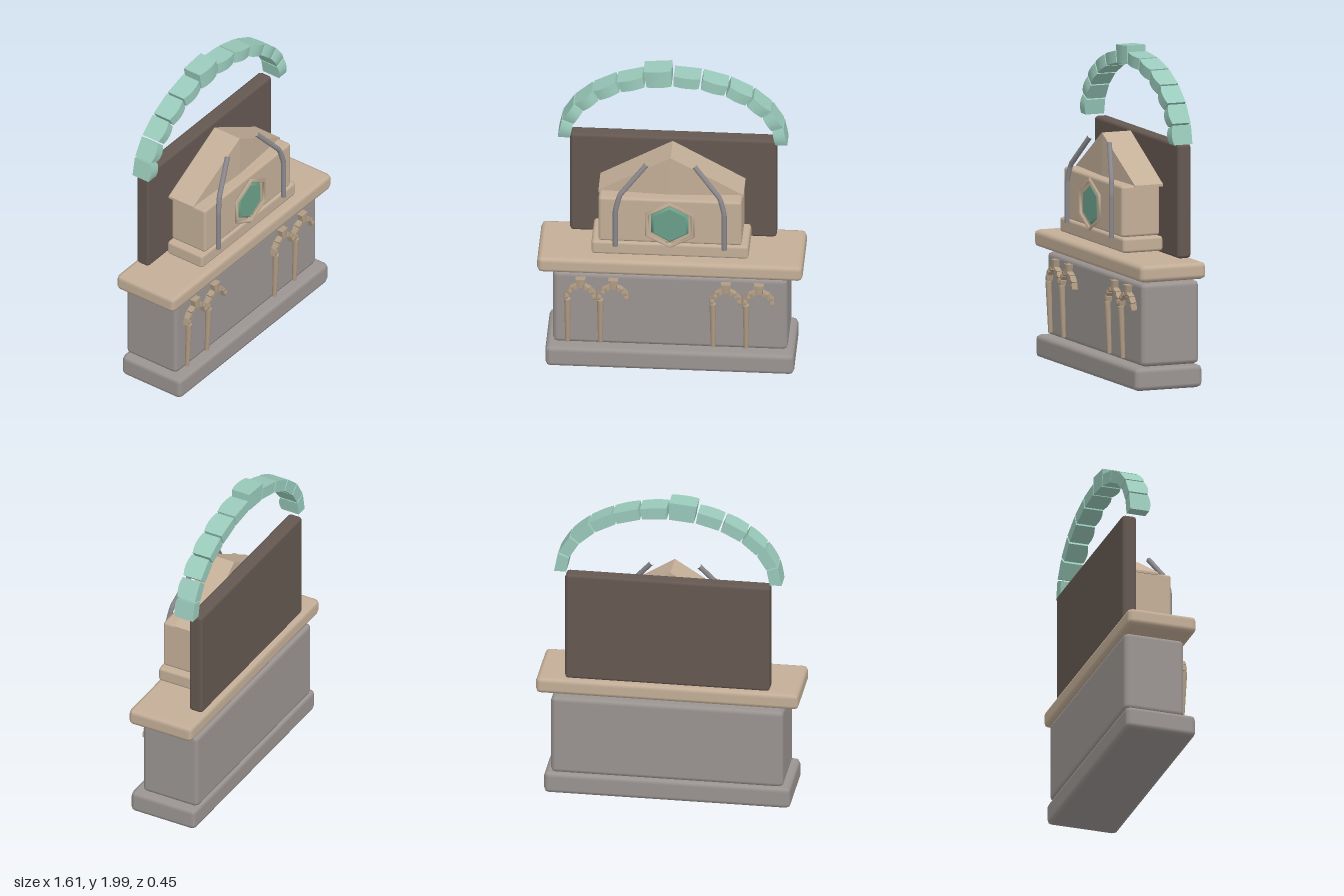
import * as THREE from 'three';
import { RoundedBoxGeometry } from 'three/addons/geometries/RoundedBoxGeometry.js';

const material = (name, color) => {
  const m = new THREE.MeshStandardMaterial({ color });
  m.name = name;
  return m;
};

export function createModel() {
  const root = new THREE.Group();
  root.name = 'altar';
  const grey = material('grey stone', 0x9b9592);
  const tan = material('tan stone', 0xc4af98);
  const brown = material('dark wood', 0x655851);
  const jade = material('pale jade', 0x9acabb);
  const gem = material('green gem', 0x6ba08a);
  const iron = material('iron', 0x8a888c);
  const carved = material('carved stone', 0xb09c84);

  const add = (parent, name, geometry, mat) => {
    const mesh = new THREE.Mesh(geometry, mat);
    mesh.name = name;
    parent.add(mesh);
    return mesh;
  };

  // Chamfered block given by half width and y, z ranges
  const block = (name, halfX, y0, y1, z0, z1, bevel, mat) => {
    const g = new RoundedBoxGeometry(halfX * 2, y1 - y0, z1 - z0, 1, bevel);
    g.translate(0, (y0 + y1) / 2, (z0 + z1) / 2);
    add(root, name, g, mat);
  };
  block('plinth', 0.755, 0, 0.14, -0.22, 0.228, 0.03, grey);
  block('altarBody', 0.713, 0.14, 0.65, -0.217, 0.167, 0.03, grey);
  block('altarSlab', 0.805, 0.67, 0.775, -0.223, 0.215, 0.03, tan);
  block('backPanel', 0.627, 0.775, 1.475, -0.2, -0.108, 0.02, brown);
  block('shrineBase', 0.477, 0.805, 0.897, -0.08, 0.187, 0.018, tan);
  block('shrineBody', 0.435, 0.895, 1.21, -0.078, 0.178, 0.018, tan);

  // Pitched roof: a box pinched at both ends, its front bowed forward
  let roof = new THREE.BoxGeometry(0.88, 1, 1, 2, 1, 1);
  const rp = roof.attributes.position;
  for (let i = 0; i < rp.count; i++) {
    const t = 1 - Math.abs(rp.getX(i)) / 0.44;
    const y = rp.getY(i) > 0 ? 1.21 + 0.265 * t : 1.195;
    const z = rp.getZ(i) > 0 ? 0.092 + 0.024 * t : -0.093 + 0.018 * t;
    rp.setXYZ(i, rp.getX(i), y, z);
  }
  roof = roof.toNonIndexed();
  roof.computeVertexNormals();
  add(root, 'shrineRoof', roof, tan);

  // Hexagonal gem in its frame
  const stone = new THREE.CylinderGeometry(0.115, 0.138, 0.025, 6).rotateX(Math.PI / 2);
  add(root, 'gem', stone, gem).position.set(0, 1.04, 0.183);
  const ring = new THREE.TorusGeometry(0.15, 0.014, 4, 6).rotateZ(Math.PI / 2).scale(1.06, 1, 1);
  add(root, 'gemFrame', ring, tan).position.set(0, 1.04, 0.196);

  // Bent rods on both sides of the shrine
  for (const s of [1, -1]) {
    const path = new THREE.CurvePath();
    const pts = [[0.33, 0.88, 0.2], [0.33, 1.14, 0.2], [0.305, 1.24, 0.187], [0.145, 1.43, 0.13]]
      .map(([x, y, z]) => new THREE.Vector3(s * x, y, z));
    for (let i = 0; i < 3; i++) path.add(new THREE.LineCurve3(pts[i], pts[i + 1]));
    add(root, s > 0 ? 'leftRod' : 'rightRod', new THREE.TubeGeometry(path, 20, 0.016, 8), iron);
  }

  // Arch of wedge stones along a half ellipse, with one taller keystone
  const arch = (name, o) => {
    const group = new THREE.Group();
    group.name = name;
    root.add(group);
    const at = (a) => new THREE.Vector2(o.x + o.rx * Math.cos(a), o.y + o.ry * Math.sin(a));
    const out = (a) => new THREE.Vector2(Math.cos(a) / o.rx, Math.sin(a) / o.ry).normalize();
    for (let i = 0; i < o.count; i++) {
      const key = i === o.key;
      const gap = 0.04;
      const a0 = ((i + 1 - gap) / o.count) * Math.PI;
      const a1 = ((i + gap) / o.count) * Math.PI;
      let g = new THREE.BoxGeometry(1, 1, 1, 4, 1, 1);
      const p = g.attributes.position;
      for (let k = 0; k < p.count; k++) {
        const u = p.getX(k) + 0.5;
        const r = p.getY(k) * o.height * (key ? o.keyScale : 1) + (key ? o.keyLift : 0);
        const c = at(a0).lerp(at(a1), u).addScaledVector(out(a0).lerp(out(a1), u), r);
        const bulge = p.getZ(k) > 0 ? 0.4 * o.depth * (u * (1 - u)) : 0;
        p.setXYZ(k, c.x, c.y, o.z + p.getZ(k) * o.depth + bulge);
      }
      g.computeVertexNormals();
      add(group, key ? 'keystone' : 'archStone', g, o.mat);
    }
  };
  arch('crownArch', {
    x: 0, y: 1.48, rx: 0.66, ry: 0.44, z: -0.115, count: 12, key: 6,
    height: 0.073, depth: 0.12, keyScale: 1.55, keyLift: 0.018, mat: jade,
  });

  // Carved arcade on the altar front: four arches, each with one column
  for (const x of [-0.543, -0.344, 0.339, 0.54]) {
    arch('smallArch', {
      x, y: 0.48, rx: 0.089, ry: 0.092, z: 0.184, count: 7, key: 3,
      height: 0.024, depth: 0.036, keyScale: 2.5, keyLift: 0.025, mat: carved,
    });
    const column = add(root, 'column', new THREE.CylinderGeometry(0.02, 0.014, 0.315, 8), carved);
    column.position.set(x - 0.078, 0.323, 0.188);
    column.rotation.x = 0.04;
  }
  return root;
}
